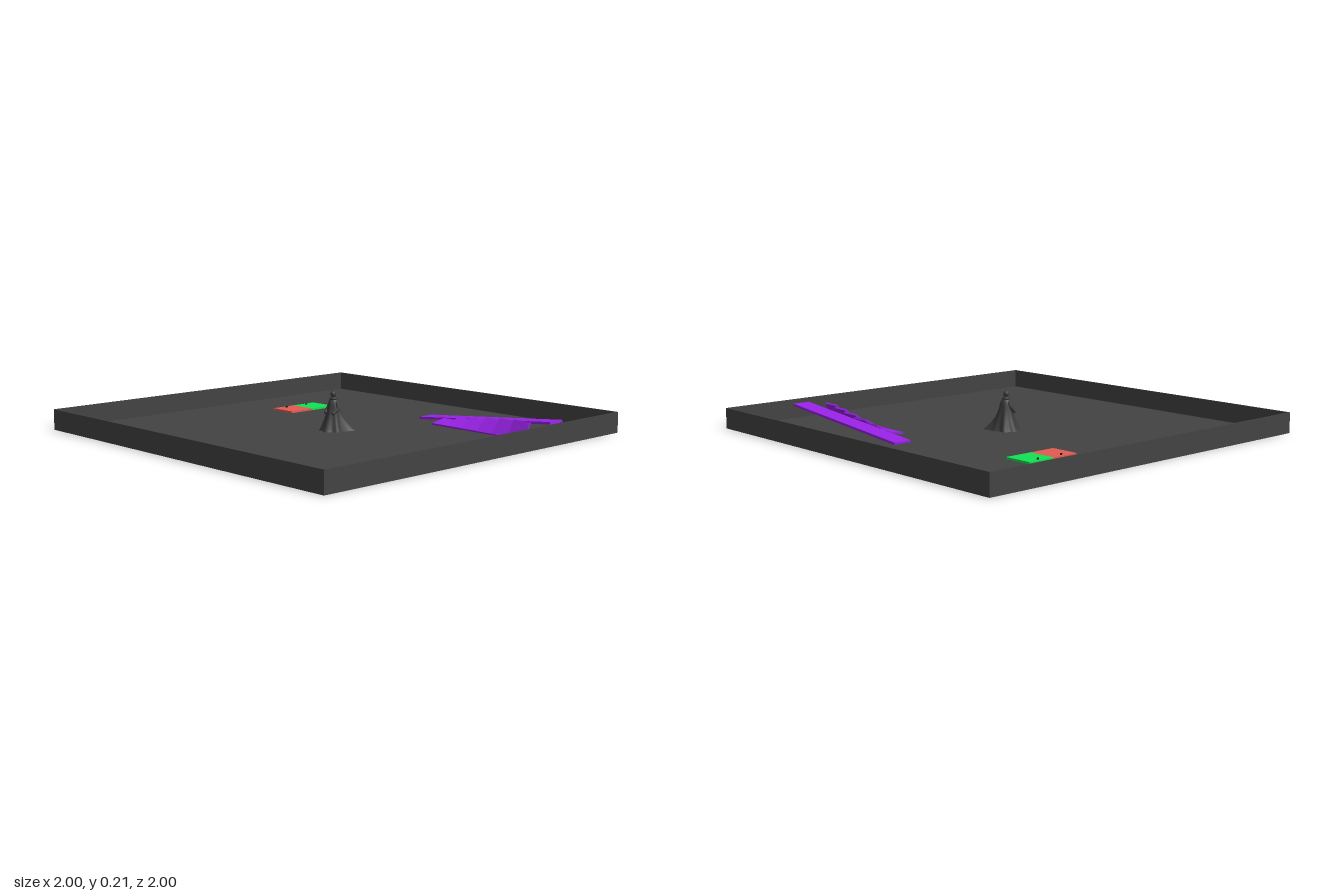
import * as THREE from 'three';

const mat = (name, color, side = THREE.FrontSide) => {
  const m = new THREE.MeshStandardMaterial({ color, side });
  m.name = name;
  return m;
};

export function createModel() {
  const model = new THREE.Group();
  model.name = 'testArena';
  const grey = mat('arena grey', 0x434343);
  const purple = mat('ramp purple', 0x9a22e8);
  const green = mat('pad green', 0x10e452);
  const red = mat('pad red', 0xe45a50);
  const cloth = mat('figure charcoal', 0x3c3c3c, THREE.DoubleSide);
  const black = mat('mark black', 0x151515);

  const add = (parent, name, geo, material, x = 0, y = 0, z = 0) => {
    const mesh = new THREE.Mesh(geo, material);
    mesh.name = name;
    mesh.position.set(x, y, z);
    parent.add(mesh);
    return mesh;
  };
  const box = (w, h, d) => new THREE.BoxGeometry(w, h, d);

  // Shallow tray: floor and four thin walls
  const T = 0.006, H = 0.105;
  add(model, 'floor', box(2, T, 2), grey, 0, T / 2, 0);
  for (const s of [-1, 1]) {
    add(model, s > 0 ? 'leftWall' : 'rightWall', box(T, H - T, 2), grey, s * (1 - T / 2), (H + T) / 2, 0);
    add(model, s > 0 ? 'frontWall' : 'backWall', box(2 - 2 * T, H - T, T), grey, 0, (H + T) / 2, s * (1 - T / 2));
  }

  // Two coloured floor pads, each with a pair of small marks
  [['greenPad', green, -0.4], ['redPad', red, -0.255]].forEach(([name, m, z]) => {
    add(model, name, box(0.15, 0.01, 0.15), m, -0.6, T + 0.005, z);
    for (const k of [-1, 1])
      add(model, 'padMark', box(0.006, 0.004, 0.008), black, -0.652 + k * 0.005, T + 0.012, z + k * 0.006);
  });

  // Long ramp rising toward +x
  const ramp = add(model, 'longRamp', box(0.858, 0.012, 0.095), purple, 0.493, 0.051, -0.602);
  ramp.rotation.z = Math.atan(0.08 / 0.855);

  // Row of six plates hinged along the front edge, each steeper than the last
  for (let i = 0; i < 6; i++) {
    const hinge = new THREE.Group();
    hinge.name = 'slopePlate' + (i + 1);
    hinge.position.set(0.295 + i * 0.1, 0.01, -0.458);
    hinge.rotation.x = THREE.MathUtils.degToRad(10 + i * 10.4);
    add(hinge, 'plate', box(0.1, 0.01, 0.092), purple, 0, 0.003, -0.046);
    model.add(hinge);
  }

  // Cloaked figure
  const figure = new THREE.Group();
  figure.name = 'cloakedFigure';
  figure.position.y = T;
  model.add(figure);

  // Cloak: lathe with folds and a trailing corner, both fading upward
  const profile = [[0.07, 0], [0.064, 0.012], [0.055, 0.035], [0.046, 0.06], [0.038, 0.085],
    [0.033, 0.11], [0.028, 0.135], [0.023, 0.15], [0.012, 0.162], [0.01, 0.17]];
  const cloak = new THREE.LatheGeometry(profile.map(([r, y]) => new THREE.Vector2(r, y)), 40);
  const p = cloak.attributes.position;
  const trail = Math.atan2(0.09, -0.08);
  for (let i = 0; i < p.count; i++) {
    const x = p.getX(i), y = p.getY(i), z = p.getZ(i);
    const a = Math.atan2(x, z);
    const low = Math.max(0, 1 - y / 0.15);
    const d = Math.atan2(Math.sin(a - trail), Math.cos(a - trail));
    const k = 1 + low * (0.12 * Math.sin(7 * a) + 0.07 * Math.sin(3 * a + 1))
      + 0.6 * low * low * Math.exp(-d * d * 14);
    p.setXYZ(i, x * k - 0.004, y, z * k);
  }
  cloak.computeVertexNormals();
  add(figure, 'cloak', cloak, cloth);

  // Head, hood and collar
  add(figure, 'head', new THREE.SphereGeometry(0.0155, 16, 12), cloth, -0.005, 0.183, 0.002).scale.set(0.9, 1.05, 1);
  const collar = add(figure, 'collar', new THREE.TorusGeometry(0.015, 0.006, 8, 20), cloth, -0.005, 0.16, 0);
  collar.rotation.x = Math.PI / 2;

  // Arms held close, with sleeves
  for (const s of [-1, 1]) {
    const curve = new THREE.CatmullRomCurve3([
      new THREE.Vector3(s * 0.022 - 0.004, 0.145, 0),
      new THREE.Vector3(s * 0.036 - 0.002, 0.115, 0.004),
      new THREE.Vector3(s * 0.028, 0.092, 0.032)]);
    add(figure, s > 0 ? 'leftArm' : 'rightArm', new THREE.TubeGeometry(curve, 10, 0.009, 8), cloth);
    add(figure, s > 0 ? 'leftHand' : 'rightHand', new THREE.SphereGeometry(0.01, 10, 8), cloth, s * 0.028, 0.092, 0.032);
  }
  return model;
}
